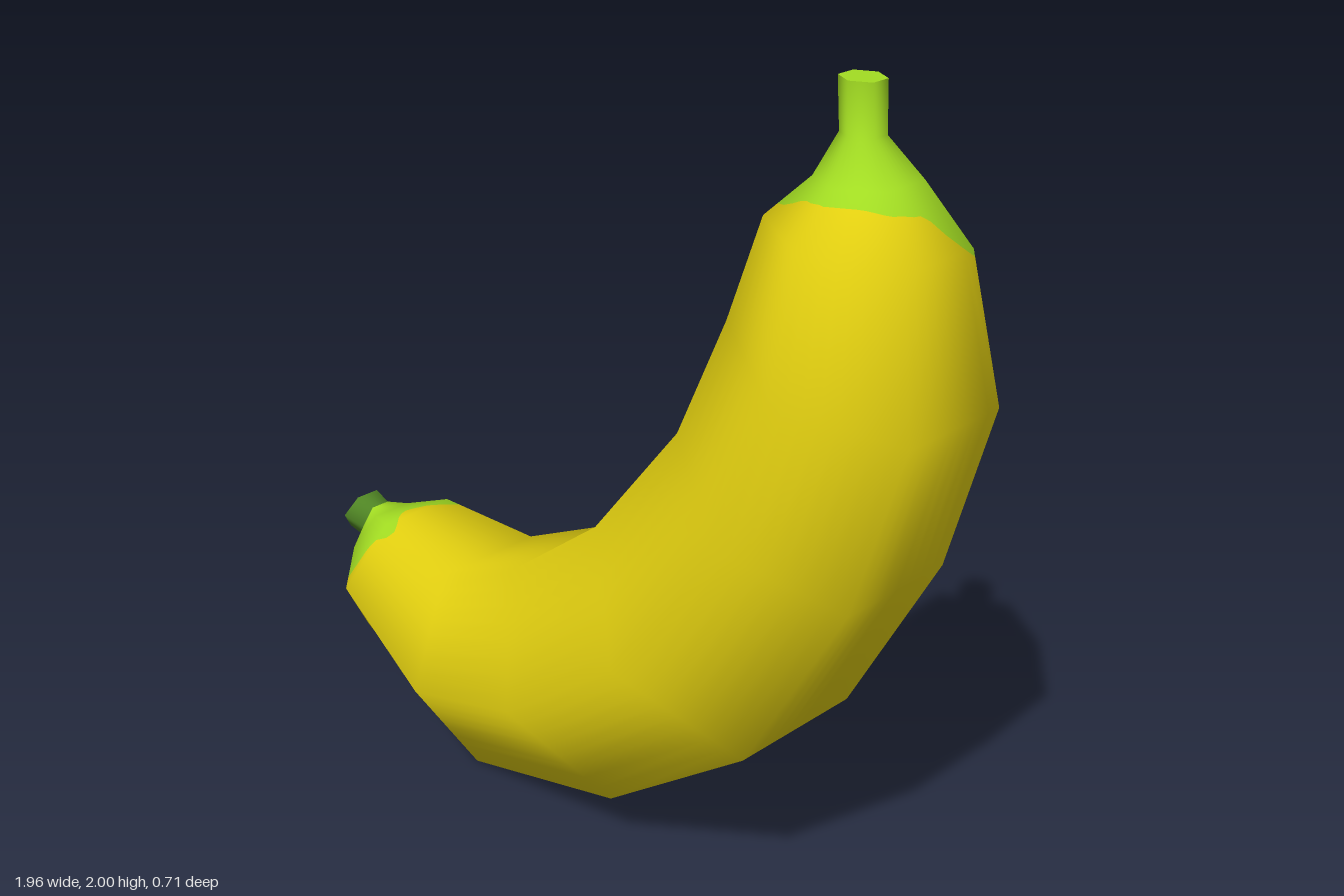
import * as THREE from 'three';

// Hexagonal rings from stem to blossom end: [inner x, inner y, outer x, outer y, half depth]
const RINGS = [
  [0.655, 2.0, 0.742, 2.0, 0.046],
  [0.665, 1.89, 0.748, 1.89, 0.046],
  [0.63, 1.80, 0.82, 1.81, 0.11],
  [0.55, 1.71, 0.91, 1.68, 0.21],
  [0.495, 1.48, 0.975, 1.35, 0.288],
  [0.375, 1.19, 0.86, 0.94, 0.315],
  [0.145, 0.885, 0.61, 0.48, 0.357],
  [-0.16, 0.645, 0.19, 0.162, 0.345],
  [-0.44, 0.513, -0.33, 0.005, 0.30],
  [-0.725, 0.535, -0.828, 0.19, 0.21],
  [-0.835, 0.50, -0.895, 0.33, 0.11],
  [-0.885, 0.497, -0.91, 0.39, 0.052],
  [-0.94, 0.51, -0.98, 0.41, 0.066],
];
const LAST = RINGS.length - 1;
const SUB = 8; // columns per side, for the curved colour borders
const COLS = 6 * SUB;

// Ring position of each colour border, every 30 degrees: outer side, +z, inner side, -z
const STEM_BORDER = [2.4, 2.3, 2.25, 2.25, 2.35, 2.7, 2.9, 2.75, 2.75, 2.65, 2.5, 3.05];
const TIP_BORDER = [9.5, 9.1, 9.15, 9.25, 9.2, 8.85, 9.45, 8.85, 9.1, 9.3, 9.3, 9.5];

// Corner k of ring i; corners sit at 30, 90, 150... degrees
function corner(i, k) {
  const [ix, iy, ox, oy, depth] = RINGS[i];
  const a = Math.PI / 6 + (k * Math.PI) / 3;
  const c = Math.cos(a) / Math.cos(Math.PI / 6) / 2;
  return new THREE.Vector3(
    (ix + ox) / 2 + (ox - ix) * c, (iy + oy) / 2 + (oy - iy) * c, depth * Math.sin(a));
}

// Smooth normal at a corner, from its neighbours
function cornerNormal(i, k) {
  const around = corner(i, k + 1).sub(corner(i, k + 5));
  const along = corner(Math.min(i + 1, LAST), k).sub(corner(Math.max(i - 1, 0), k));
  return around.cross(along).normalize();
}

// Blend a corner function over the skin: t runs along the rings, col around them
function sample(fn, t, col) {
  const i = Math.min(Math.floor(t), LAST - 1);
  const k = Math.floor(col / SUB), f = col / SUB - k;
  const upper = fn(i, k).lerp(fn(i, k + 1), f);
  return upper.lerp(fn(i + 1, k).lerp(fn(i + 1, k + 1), f), t - i);
}

// Softly interpolated border value at a column
function border(table) {
  return (col) => {
    const s = ((col / COLS) * 12 + 1) % 12, i = Math.floor(s);
    const f = THREE.MathUtils.smoothstep(s - i, 0, 1);
    return THREE.MathUtils.lerp(table[i], table[(i + 1) % 12], f);
  };
}

// Skin between two borders, keeping every ring in between as a row
function skin(from, to) {
  const position = [], normal = [], index = [];
  const rowAt = (r, c) => THREE.MathUtils.clamp(r, from(c), to(c));
  for (let r = 0; r <= LAST; r++) {
    for (let c = 0; c <= COLS; c++) {
      position.push(...sample(corner, rowAt(r, c), c).toArray());
      normal.push(...sample(cornerNormal, rowAt(r, c), c).normalize().toArray());
      if (r === LAST || c === COLS) continue;
      const a = r * (COLS + 1) + c, b = a + 1, d = a + COLS + 1, e = d + 1;
      if (rowAt(r, c) < rowAt(r + 1, c)) index.push(a, b, d);
      if (rowAt(r, c + 1) < rowAt(r + 1, c + 1)) index.push(b, e, d);
    }
  }
  const g = new THREE.BufferGeometry();
  g.setAttribute('position', new THREE.Float32BufferAttribute(position, 3));
  g.setAttribute('normal', new THREE.Float32BufferAttribute(normal, 3));
  g.setIndex(index);
  return g;
}

// Flat hexagonal end cap on ring i
function cap(i, flip) {
  const position = [], index = [];
  for (let k = 0; k < 6; k++) position.push(...corner(i, k).toArray());
  for (let k = 1; k < 5; k++) index.push(0, ...(flip ? [k, k + 1] : [k + 1, k]));
  const g = new THREE.BufferGeometry();
  g.setAttribute('position', new THREE.Float32BufferAttribute(position, 3));
  g.setIndex(index);
  g.computeVertexNormals();
  return g;
}

export function createModel() {
  const material = (name, color) => {
    const m = new THREE.MeshStandardMaterial({ color });
    m.name = name;
    return m;
  };
  const yellow = material('ripe yellow', 0xe3d010);
  const green = material('fresh green', 0xa2dc22);
  const dark = material('dark green', 0x4f8424);

  const group = new THREE.Group();
  group.name = 'banana';
  const add = (name, geometry, mat) => {
    const mesh = new THREE.Mesh(geometry, mat);
    mesh.name = name;
    group.add(mesh);
  };
  const at = (t) => () => t;
  const stemBorder = border(STEM_BORDER), tipBorder = border(TIP_BORDER);

  add('stem', skin(at(0), stemBorder), green);
  add('stemEnd', cap(0, false), green);
  add('peel', skin(stemBorder, tipBorder), yellow);
  add('greenTip', skin(tipBorder, at(LAST - 1)), green);
  add('blossomEnd', skin(at(LAST - 1), at(LAST)), dark);
  add('blossomCap', cap(LAST, true), dark);
  return group;
}
